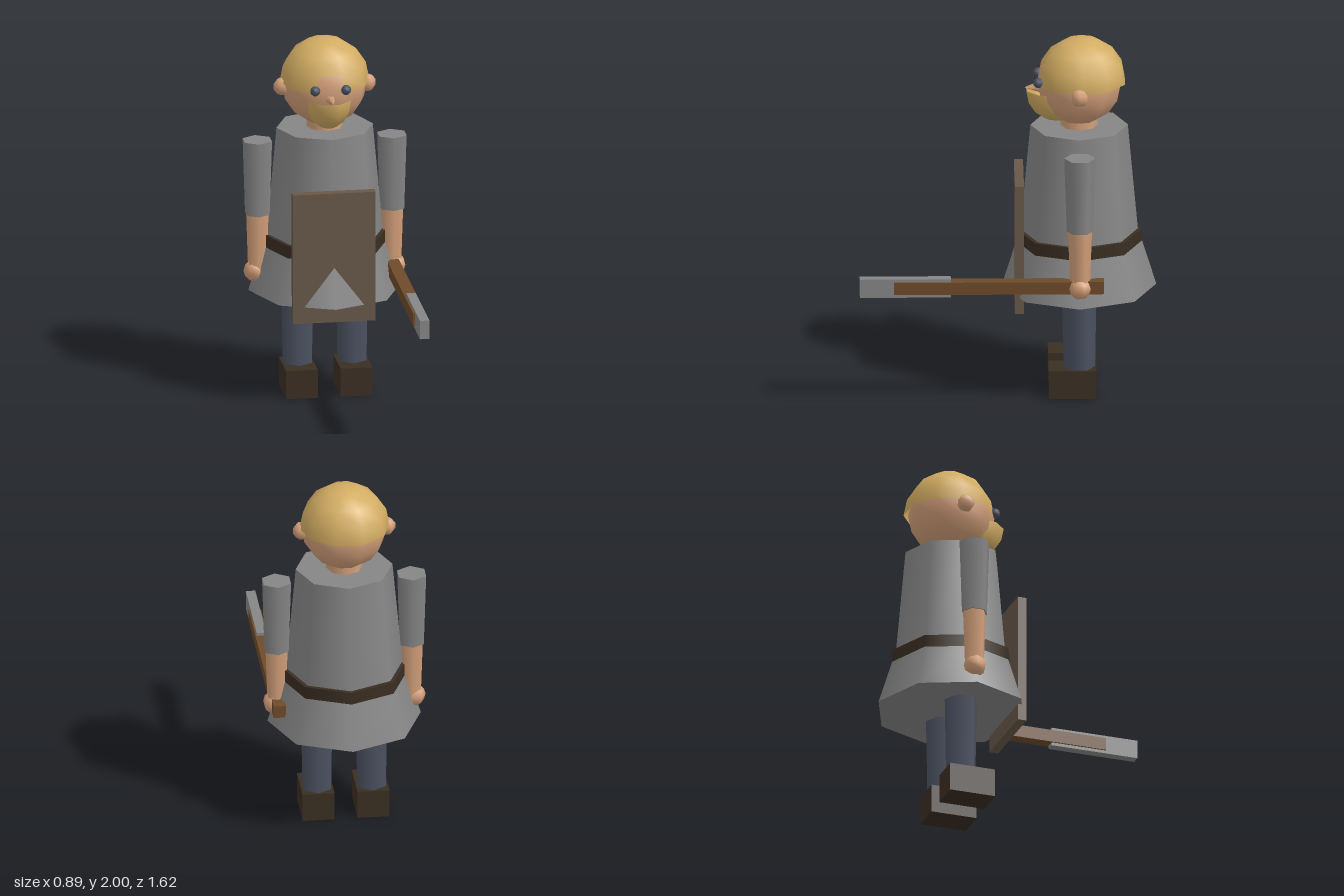
import * as THREE from 'three';

const mat = (name, color, side = THREE.FrontSide) => {
  const m = new THREE.MeshStandardMaterial({ color, side });
  m.name = name;
  return m;
};

export function createModel() {
  const group = new THREE.Group();
  group.name = 'guard';
  const grey = mat('grey', 0x868686);
  const skin = mat('skin', 0xd4a07a);
  const gold = mat('gold', 0xd2ac62, THREE.DoubleSide);
  const slate = mat('slate', 0x4b5261);
  const darkLeather = mat('darkLeather', 0x3a2e22);
  const shieldBrown = mat('shieldBrown', 0x685849);
  const wood = mat('wood', 0x6e4b2a);

  const Z = -0.388; // depth of the body axis

  const add = (name, geometry, material, x, y, z) => {
    const mesh = new THREE.Mesh(geometry, material);
    mesh.name = name;
    mesh.position.set(x, y, z);
    group.add(mesh);
    return mesh;
  };
  // Upright tapered prism between two heights
  const column = (name, material, x, y0, y1, rBottom, rTop, sides) =>
    add(name, new THREE.CylinderGeometry(rTop, rBottom, y1 - y0, sides), material, x, (y0 + y1) / 2, Z);
  const box = (name, material, w, h, d, x, y, z) =>
    add(name, new THREE.BoxGeometry(w, h, d), material, x, y, z);

  // Tunic, skirt and belt
  column('tunic', grey, 0, 0.84, 1.5, 0.325, 0.265, 8);
  column('skirt', grey, 0, 0.58, 0.9, 0.42, 0.32, 8);
  column('belt', darkLeather, 0, 0.83, 0.9, 0.342, 0.342, 8);

  // Head with cap of hair, beard and nose
  column('neck', skin, 0, 1.45, 1.6, 0.1, 0.1, 8);
  add('head', new THREE.SphereGeometry(0.235, 10, 8), skin, 0, 1.75, Z);
  add('hair', new THREE.SphereGeometry(0.247, 10, 4, 0, Math.PI * 2, 0, Math.PI / 2), gold, 0, 1.755, Z - 0.014);
  const beard = add('beard',
    new THREE.SphereGeometry(0.18, 10, 4, 0, Math.PI * 2, Math.PI / 2, Math.PI / 2), gold, 0, 1.707, -0.272);
  beard.scale.x = 0.75;
  const nose = add('nose', new THREE.ConeGeometry(0.03, 0.09, 5), skin, 0, 1.715, -0.135);
  nose.rotation.x = Math.PI / 2;

  // Paired parts
  for (const [side, s] of [['left', 1], ['right', -1]]) {
    add(side + 'Eye', new THREE.SphereGeometry(0.028, 8, 6), slate, s * 0.085, 1.77, -0.165);
    add(side + 'Ear', new THREE.SphereGeometry(0.05, 6, 5), skin, s * 0.233, 1.735, Z);
    column(side + 'Sleeve', grey, s * 0.37, 1.015, 1.435, 0.072, 0.086, 6);
    column(side + 'Forearm', skin, s * 0.37, 0.69, 1.03, 0.054, 0.066, 6);
    add(side + 'Hand', new THREE.SphereGeometry(0.063, 7, 6), skin, s * 0.383, 0.692, Z);
    column(side + 'Leg', slate, s * 0.15, 0.14, 0.62, 0.085, 0.093, 6);
    box(side + 'Boot', darkLeather, 0.175, 0.16, 0.26, s * 0.15, 0.08, -0.35);
  }

  // Shield across the front; the skirt's front corner passes through it
  box('shield', shieldBrown, 0.455, 0.735, 0.05, 0, 0.855, -0.061);

  // Weapon held forward in the left hand
  box('weaponHandle', wood, 0.068, 0.07, 1.142, 0.367, 0.697, 0.053);
  box('weaponBlade', grey, 0.052, 0.105, 0.495, 0.368, 0.697, 0.562);

  return group;
}
